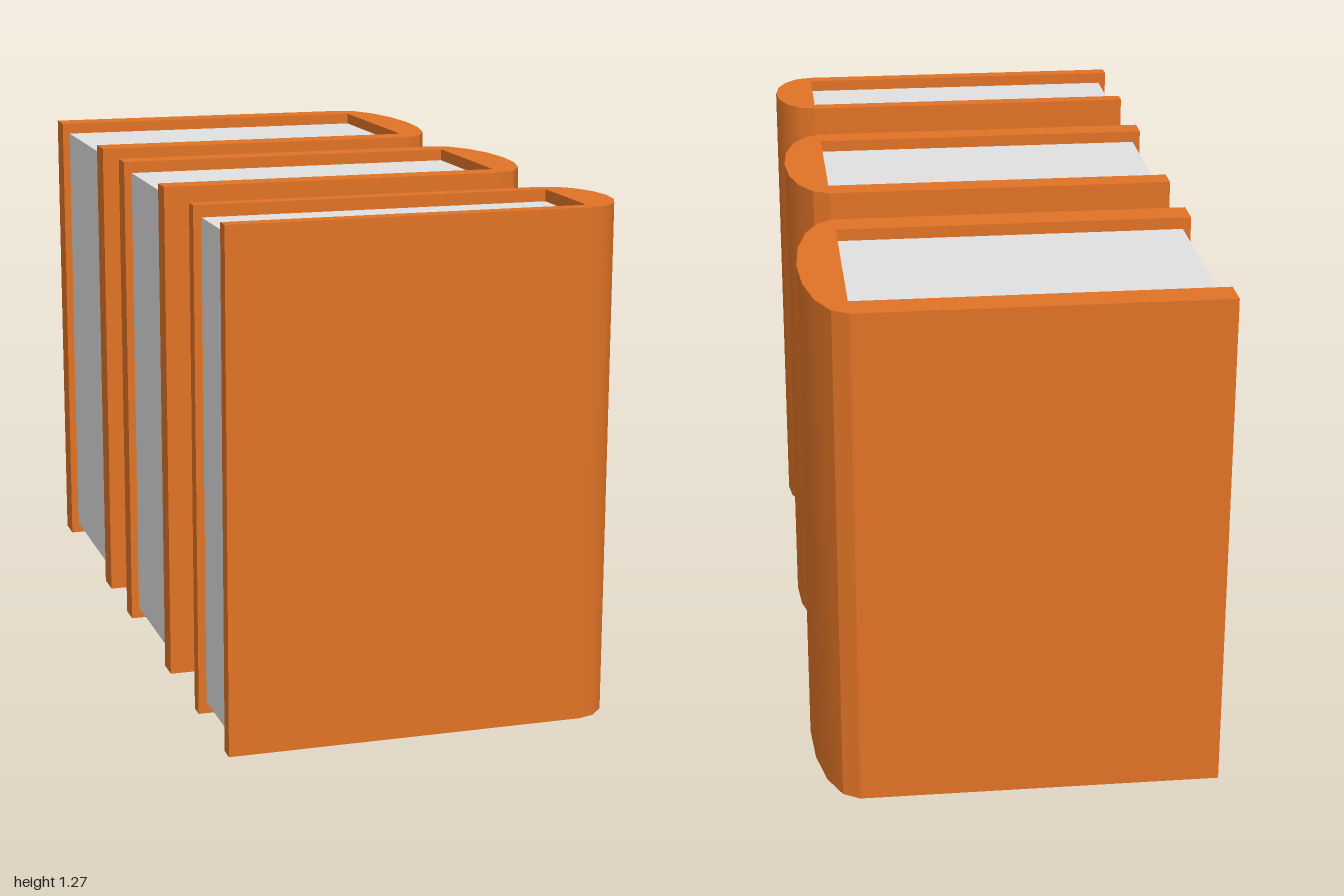
import * as THREE from 'three';
import { toCreasedNormals } from 'three/addons/utils/BufferGeometryUtils.js';

const HEIGHT = 1.27;
const FORE_EDGE = -0.5; // open side of the covers
const HINGE = 0.39;     // where covers meet the rounded spine
const SPINE_DEPTH = 0.107;
const RECESS = 0.03;    // pages sit inside the covers

const leather = new THREE.MeshStandardMaterial({ color: 0xe07326 });
leather.name = 'orangeCover';
const paper = new THREE.MeshStandardMaterial({ color: 0xe0e0e0 });
paper.name = 'palePaper';

function addBox(group, name, material, x0, x1, y0, y1, z0, z1) {
  const mesh = new THREE.Mesh(new THREE.BoxGeometry(x1 - x0, y1 - y0, z1 - z0), material);
  mesh.position.set((x0 + x1) / 2, (y0 + y1) / 2, (z0 + z1) / 2);
  mesh.name = name;
  group.add(mesh);
}

// Half-ellipse column, flat on the page side
function spineGeometry(half) {
  const points = [];
  for (let i = 0; i <= 8; i++) {
    const a = -Math.PI / 2 + (i * Math.PI) / 8;
    points.push(new THREE.Vector2(HINGE + SPINE_DEPTH * Math.cos(a), half * Math.sin(a)));
  }
  const geometry = new THREE.ExtrudeGeometry(new THREE.Shape(points), { depth: HEIGHT, bevelEnabled: false });
  geometry.rotateX(-Math.PI / 2);
  return toCreasedNormals(geometry, Math.PI / 6);
}

function createBook(name, zBack, zFront, cover) {
  const book = new THREE.Group();
  book.name = name;
  const half = (zFront - zBack) / 2;
  book.position.z = (zFront + zBack) / 2;

  addBox(book, 'frontCover', leather, FORE_EDGE, HINGE, 0, HEIGHT, half - cover, half);
  addBox(book, 'backCover', leather, FORE_EDGE, HINGE, 0, HEIGHT, -half, cover - half);
  addBox(book, 'pages', paper, FORE_EDGE + 0.02, HINGE, RECESS, HEIGHT - RECESS, cover - half, half - cover);

  const spine = new THREE.Mesh(spineGeometry(half), leather);
  spine.name = 'spine';
  book.add(spine);
  return book;
}

export function createModel() {
  const model = new THREE.Group();
  model.name = 'books';
  model.add(
    createBook('thickBook', -1, -0.335, 0.08),
    createBook('mediumBook', -0.125, 0.405, 0.065),
    createBook('thinBook', 0.665, 1, 0.04)
  );
  return model;
}
